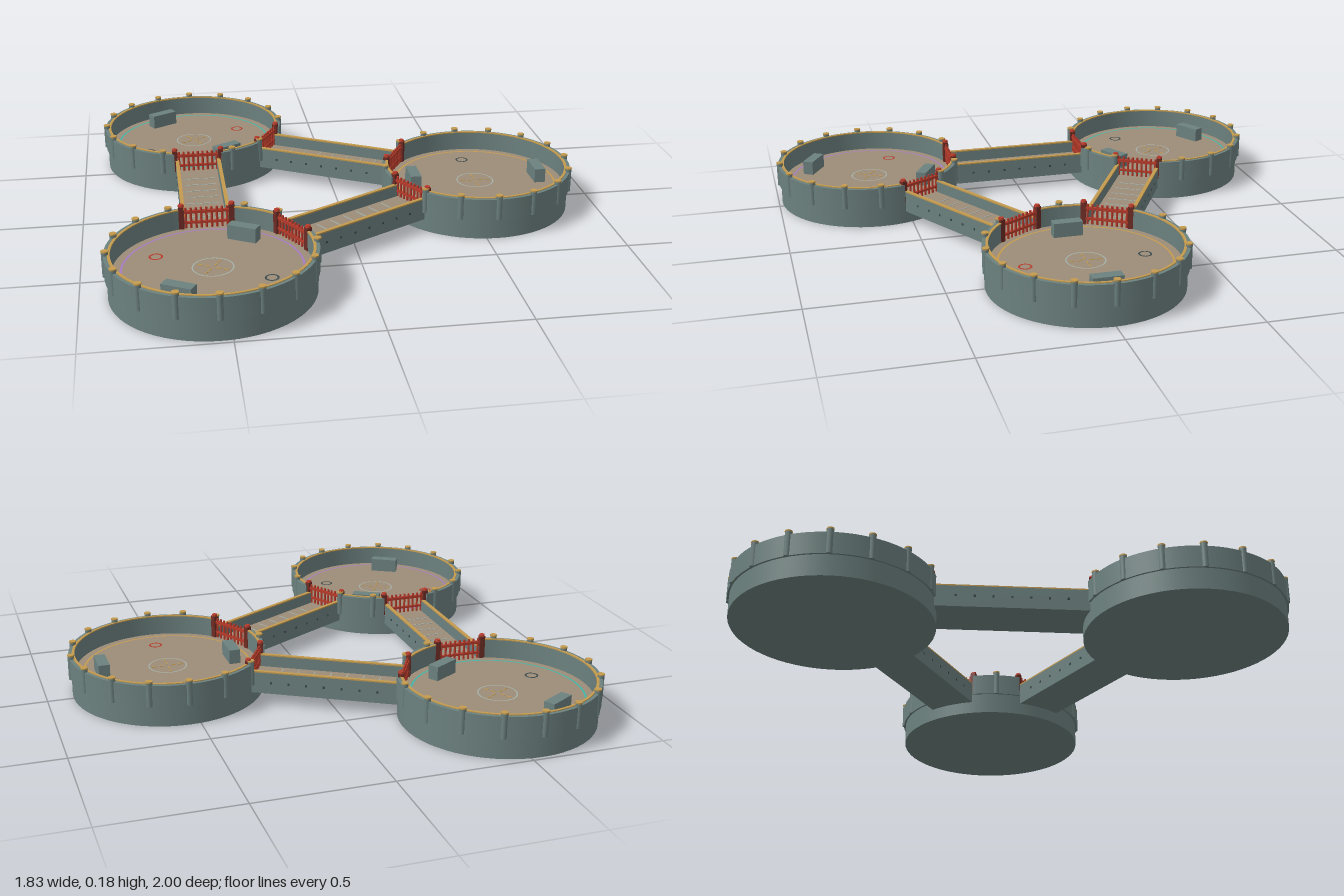
import * as THREE from 'three';
import { toCreasedNormals } from 'three/addons/utils/BufferGeometryUtils.js';

const D = 0.72;          // arena distance from the hub
const FLOOR = 0.086;
const RAD = Math.PI / 180;
const GATES = [150, 210]; // gate directions in an arena's own frame

function makeMaterial(name, color) {
  const m = new THREE.MeshStandardMaterial({ color });
  m.name = name;
  return m;
}

const stone = makeMaterial('slate stone', 0x6c817f);
const sand = makeMaterial('sandy floor', 0x9c8d78);
const gold = makeMaterial('gold trim', 0xc39a4e);
const red = makeMaterial('gate red', 0xb63a2a);
const darkRed = makeMaterial('dark red', 0x6e2c24);
const pale = makeMaterial('pale line', 0xa3b0aa);
const dark = makeMaterial('dark metal', 0x3c494b);
const teal = makeMaterial('teal line', 0x45b3a6);
const purple = makeMaterial('purple line', 0xa67cc0);

function add(parent, name, geo, mat, x = 0, y = 0, z = 0, ry = 0) {
  const m = new THREE.Mesh(geo, mat);
  m.name = name;
  m.position.set(x, y, z);
  m.rotation.y = ry;
  parent.add(m);
  return m;
}

// Upright curved slab between two angles (degrees, from x towards z)
function arcSlab(rIn, rOut, a0, a1, h) {
  const s = new THREE.Shape();
  s.absarc(0, 0, rOut, a0 * RAD, a1 * RAD, false);
  s.absarc(0, 0, rIn, a1 * RAD, a0 * RAD, true);
  const g = new THREE.ExtrudeGeometry(s, { depth: h, bevelEnabled: false, curveSegments: 48 });
  g.rotateX(Math.PI / 2).translate(0, h, 0);
  return toCreasedNormals(g, 0.5);
}

// Flat painted ring
function flatRing(r, w, segments = 64) {
  return new THREE.RingGeometry(r - w / 2, r + w / 2, segments).rotateX(-Math.PI / 2);
}

const box = (w, h, d) => new THREE.BoxGeometry(w, h, d);

// Gate: two posts, a rail and a row of bars, spanning local z
function makeGate() {
  const gate = new THREE.Group();
  gate.name = 'gate';
  for (const s of [-1, 1]) {
    add(gate, 'gatePost', box(0.02, 0.088, 0.02), darkRed, 0, FLOOR + 0.044, s * 0.092);
    add(gate, 'gatePostCap', new THREE.CylinderGeometry(0.01, 0.012, 0.008, 8), red, 0, 0.177, s * 0.092);
  }
  add(gate, 'gateRail', box(0.012, 0.01, 0.17), red, 0, 0.15, 0);
  add(gate, 'gateLowerRail', box(0.01, 0.008, 0.17), red, 0, 0.108, 0);
  const bar = new THREE.CylinderGeometry(0.0045, 0.0045, 0.08, 6);
  for (let i = 0; i < 9; i++) add(gate, 'gateBar', bar, red, 0, FLOOR + 0.04, (i - 4) * 0.019);
  return gate;
}

function makeArena(turn, accent) {
  const g = new THREE.Group();
  g.name = 'arena';
  add(g, 'base', new THREE.CylinderGeometry(0.362, 0.362, 0.084, 64), stone, 0, 0.042, 0);
  add(g, 'floor', new THREE.CircleGeometry(0.356, 64).rotateX(-Math.PI / 2), sand, 0, FLOOR, 0);

  // Wall in two runs, leaving openings for the gates
  for (const [a0, a1] of [[-135, 135], [165, 195]]) {
    add(g, 'wall', arcSlab(0.347, 0.369, a0, a1, 0.081), stone, 0, 0.079, 0);
    add(g, 'wallTrim', arcSlab(0.346, 0.356, a0, a1, 0.004), gold, 0, 0.159, 0);
  }

  // Wall posts keep the same compass directions on every arena
  const post = new THREE.CylinderGeometry(0.0125, 0.0125, 0.092, 10);
  const cap = new THREE.CylinderGeometry(0.0135, 0.0135, 0.005, 10);
  for (let k = 0; k < 16; k++) {
    const a = (((k * 22.5 - turn) % 360) + 360) % 360;
    if (GATES.some(q => Math.abs(a - q) < 14.9)) continue;
    const x = 0.363 * Math.cos(a * RAD), z = 0.363 * Math.sin(a * RAD);
    add(g, 'wallPost', post, stone, x, 0.125, z);
    add(g, 'wallPostCap', cap, gold, x, 0.1735, z);
  }

  for (const a of GATES) {
    const gate = makeGate();
    gate.position.set(0.341 * Math.cos(a * RAD), 0, 0.341 * Math.sin(a * RAD));
    gate.rotation.y = -a * RAD;
    g.add(gate);
  }

  // Painted floor markings
  const y = FLOOR + 0.002;
  add(g, 'accentRing', flatRing(0.314, 0.008, 96), accent, 0, y, 0);
  add(g, 'centreRing', flatRing(0.071, 0.005), pale, 0, y, 0);
  for (let i = 0; i < 4; i++) {
    const a = i * 90 * RAD;
    for (const r of [0.022, 0.05])
      add(g, 'centreTick', box(0.018, 0.002, 0.004), gold, r * Math.cos(a), y, r * Math.sin(a), -a);
  }
  add(g, 'redMarker', flatRing(0.022, 0.007, 24), red, 0, y, 0.222);
  add(g, 'darkMarker', flatRing(0.022, 0.007, 24), dark, 0, y, -0.222);

  // Cover blocks
  for (const s of [-1, 1]) add(g, 'coverBlock', box(0.042, 0.055, 0.112), stone, s * 0.25, FLOOR + 0.0275, 0);
  return g;
}

// Bridge running along local z
function makeBridge() {
  const g = new THREE.Group();
  g.name = 'bridge';
  add(g, 'bridgeBody', box(0.176, 0.036, 0.58), stone, 0, 0.065, 0);
  add(g, 'bridgeDeck', box(0.16, 0.002, 0.57), sand, 0, 0.084, 0);
  for (const s of [-1, 1]) {
    add(g, 'bridgeParapet', box(0.014, 0.081, 0.566), stone, s * 0.083, 0.0875, 0);
    add(g, 'bridgeTrim', box(0.014, 0.005, 0.566), gold, s * 0.083, 0.1305, 0);
    for (let i = -3; i <= 3; i++)
      add(g, 'bridgeRivet', box(0.003, 0.008, 0.008), dark, s * 0.0905, 0.09, i * 0.066);
  }
  for (let i = -3; i <= 3; i++) add(g, 'deckLine', box(0.12, 0.002, 0.004), pale, 0, 0.0855, i * 0.062);
  return g;
}

export function createModel() {
  const model = new THREE.Group();
  model.name = 'triple arena';
  // Three identical sectors turned about the hub
  [gold, purple, teal].forEach((accent, i) => {
    const turn = i * 120;
    const sector = new THREE.Group();
    sector.name = 'sector';
    const arena = makeArena(turn, accent);
    arena.position.x = D;
    const bridge = makeBridge();
    bridge.position.x = -D / 2;
    sector.add(arena, bridge);
    sector.position.x = -D / 4;
    sector.rotation.y = -turn * RAD;
    model.add(sector);
  });
  return model;
}
